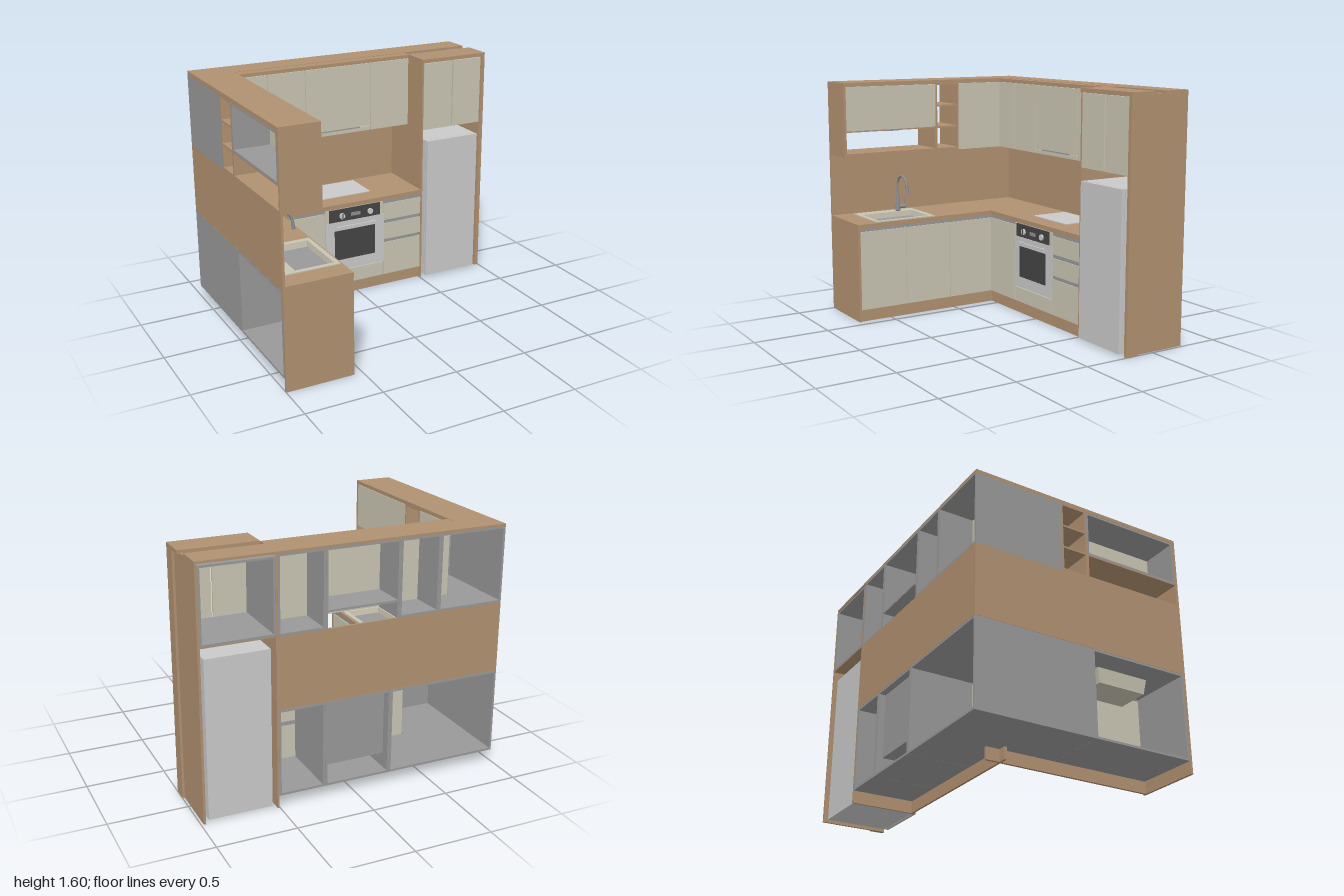
import * as THREE from 'three';

const mat = (name, color) => new THREE.MeshStandardMaterial({ name, color });
const wood = mat('wood', 0xb09070);
const cream = mat('cream', 0xc8c4b2);
cream.side = THREE.DoubleSide;
const carcassGrey = mat('carcassGrey', 0x989898);
const steel = mat('steel', 0xc9c9c9);
const black = mat('black', 0x444444);
const chrome = mat('chrome', 0x8a8d91);

export function createModel() {
  const root = new THREE.Group();
  root.name = 'cornerKitchen';

  const add = (name, geo, m, parent = root) => {
    const mesh = new THREE.Mesh(geo, m);
    mesh.name = name;
    parent.add(mesh);
    return mesh;
  };
  // Box given by its limits on each axis
  const slab = (name, m, x0, x1, y0, y1, z0, z1, parent = root) => {
    const mesh = add(name, new THREE.BoxGeometry(x1 - x0, y1 - y0, z1 - z0), m, parent);
    mesh.position.set((x0 + x1) / 2, (y0 + y1) / 2, (z0 + z1) / 2);
    return mesh;
  };
  const group = (name) => {
    const g = new THREE.Group();
    g.name = name;
    root.add(g);
    return g;
  };
  // Four-board cabinet body, open at front and back; sides stand across the given axis
  const T = 0.014;
  const carcass = (name, x0, x1, y0, y1, z0, z1, axis = 'x', m = carcassGrey) => {
    const g = group(name);
    slab('floorBoard', m, x0, x1, y0, y0 + T, z0, z1, g);
    slab('topBoard', m, x0, x1, y1 - T, y1, z0, z1, g);
    if (axis === 'x') {
      slab('sideBoard', m, x0, x0 + T, y0 + T, y1 - T, z0, z1, g);
      slab('sideBoard', m, x1 - T, x1, y0 + T, y1 - T, z0, z1, g);
    } else {
      slab('sideBoard', m, x0, x1, y0 + T, y1 - T, z0, z0 + T, g);
      slab('sideBoard', m, x0, x1, y0 + T, y1 - T, z1 - T, z1, g);
    }
    return g;
  };
  // Flat board in plan, with an optional rectangular hole
  const plan = (pts, hole, y0, h) => {
    const s = new THREE.Shape(pts.map(([x, z]) => new THREE.Vector2(x, -z)));
    if (hole) {
      const [a, b, c, d] = hole;
      s.holes.push(new THREE.Path([[a, c], [a, d], [b, d], [b, c]].map(([x, z]) => new THREE.Vector2(x, -z))));
    }
    return new THREE.ExtrudeGeometry(s, { depth: h, bevelEnabled: false }).rotateX(-Math.PI / 2).translate(0, y0, 0);
  };

  // Worktop and splashbacks
  add('worktop', plan([[-1, 0.74], [-0.555, 0.74], [-0.555, -0.3], [0.505, -0.3], [0.505, -0.74], [-1, -0.74]],
    [-0.9, -0.585, 0.17, 0.585], 0.64, 0.03), wood);
  slab('backSplash', wood, -0.985, 0.505, 0.67, 1.1, -0.74, -0.725);
  slab('leftSplash', wood, -1, -0.985, 0.67, 1.1, -0.74, 0.74);

  // Base cabinets along the back
  const cornerBase = group('cornerBaseCabinet');
  add('floorBoard', plan([[-1, 0.045], [-0.58, 0.045], [-0.58, -0.322], [-0.24, -0.322], [-0.24, -0.74], [-1, -0.74]],
    null, 0.08, T), carcassGrey, cornerBase);
  add('topBoard', plan([[-1, 0.045], [-0.58, 0.045], [-0.58, -0.322], [-0.24, -0.322], [-0.24, -0.74], [-1, -0.74]],
    null, 0.625, T), carcassGrey, cornerBase);
  slab('leftBoard', carcassGrey, -1, -0.986, 0.094, 0.625, -0.74, 0.045, cornerBase);
  slab('rightBoard', carcassGrey, -0.254, -0.24, 0.094, 0.625, -0.74, -0.322, cornerBase);
  carcass('ovenCabinet', -0.239, 0.2, 0.08, 0.639, -0.74, -0.322);
  carcass('drawerCabinet', 0.201, 0.502, 0.08, 0.639, -0.74, -0.322);
  carcass('sinkCabinet', -1, -0.58, 0.08, 0.639, 0.046, 0.722, 'z');

  // Panels that stand on the floor
  slab('leftEndPanel', wood, -1, -0.556, 0, 0.64, 0.724, 0.74);
  slab('fridgeSidePanel', wood, 0.503, 0.515, 0, 1.1, -0.74, -0.3);
  slab('leftKickboard', wood, -0.585, -0.568, 0, 0.078, -0.42, 0.724);
  slab('backKickboard', wood, -0.64, 0.503, 0, 0.078, -0.33, -0.315);

  // Base doors of the left run, with grip channels above
  for (const [z0, z1] of [[0.384, 0.722], [0.042, 0.378], [-0.3, 0.035]]) {
    slab('baseDoor', cream, -0.578, -0.558, 0.082, 0.618, z0, z1);
    slab('gripChannel', carcassGrey, -0.585, -0.566, 0.618, 0.638, z0 + 0.005, z1 - 0.005);
  }
  // Fronts of the back run
  slab('cornerDoor', cream, -0.558, -0.246, 0.082, 0.618, -0.321, -0.302);
  slab('gripChannel', carcassGrey, -0.556, -0.246, 0.618, 0.638, -0.325, -0.31);
  slab('ovenBaseDrawer', cream, -0.236, 0.2, 0.082, 0.182, -0.321, -0.302);
  [[0.082, 0.325], [0.35, 0.468], [0.494, 0.615]].forEach(([y0, y1]) => {
    slab('drawerFront', cream, 0.206, 0.501, y0, y1, -0.321, -0.302);
    slab('drawerGrip', carcassGrey, 0.206, 0.495, y1, y1 + 0.024, -0.325, -0.308);
  });

  // Oven
  const oven = group('oven');
  slab('ovenBody', carcassGrey, -0.215, 0.18, 0.2, 0.622, -0.7, -0.32, oven);
  slab('ovenDoor', steel, -0.24, 0.208, 0.188, 0.545, -0.32, -0.299, oven);
  slab('ovenWindow', black, -0.175, 0.135, 0.265, 0.48, -0.299, -0.296, oven);
  slab('ovenSurround', cream, -0.24, 0.203, 0.545, 0.638, -0.321, -0.302, oven);
  slab('controlPanel', black, -0.215, 0.175, 0.547, 0.636, -0.302, -0.296, oven);
  slab('ovenHandle', steel, -0.17, 0.135, 0.499, 0.515, -0.287, -0.278, oven);
  for (const x of [-0.15, 0.115]) slab('handlePost', steel, x - 0.008, x + 0.008, 0.501, 0.513, -0.3, -0.287, oven);
  for (const x of [-0.12, 0.095]) {
    add('knob', new THREE.CylinderGeometry(0.02, 0.02, 0.014, 24).rotateX(Math.PI / 2), steel, oven)
      .position.set(x, 0.587, -0.29);
  }
  slab('knobMark', black, -0.123, -0.117, 0.57, 0.604, -0.283, -0.281, oven);
  slab('display', chrome, -0.05, 0.02, 0.575, 0.6, -0.296, -0.294, oven);

  // Hob
  slab('hob', steel, -0.21, 0.17, 0.67, 0.675, -0.7, -0.435);

  // Sink: rim, tapered bowl and drain
  const sink = group('sink');
  add('sinkRim', plan([[-0.93, 0.6], [-0.57, 0.6], [-0.57, 0.15], [-0.93, 0.15]], [-0.85, -0.6, 0.19, 0.57], 0.67, 0.007),
    cream, sink);
  const bowl = new THREE.CylinderGeometry(Math.SQRT1_2, Math.SQRT1_2 * 0.88, 0.14, 4, 1, true)
    .rotateY(Math.PI / 4).scale(0.25, 1, 0.38).toNonIndexed();
  bowl.computeVertexNormals();
  add('sinkBowl', bowl, cream, sink).position.set(-0.725, 0.605, 0.38);
  slab('bowlFloor', cream, -0.835, -0.615, 0.53, 0.535, 0.213, 0.547, sink);
  add('drain', new THREE.CylinderGeometry(0.038, 0.038, 0.006, 24), chrome, sink).position.set(-0.718, 0.538, 0.28);

  // Tap
  const tap = group('tap');
  tap.position.set(-0.88, 0.675, 0.28);
  add('tapBody', new THREE.LatheGeometry([[0, 0], [0.018, 0], [0.018, 0.008], [0.014, 0.05], [0.009, 0.13], [0, 0.13]]
    .map(([r, y]) => new THREE.Vector2(r, y)), 20), chrome, tap);
  const spout = [new THREE.Vector3(0, 0.1, 0)];
  for (let i = 0; i <= 10; i++) {
    const a = Math.PI * (1 - i / 10 * 0.95);
    spout.push(new THREE.Vector3(0.072 + 0.072 * Math.cos(a), 0.185 + 0.072 * Math.sin(a), 0));
  }
  spout.push(new THREE.Vector3(0.151, 0.15, 0));
  add('spout', new THREE.TubeGeometry(new THREE.CatmullRomCurve3(spout), 40, 0.008, 12), chrome, tap);
  const head = add('sprayHead', new THREE.CylinderGeometry(0.009, 0.012, 0.06, 16), chrome, tap);
  head.position.set(0.15, 0.165, 0);
  head.rotation.z = 0.12;
  add('leverHub', new THREE.CylinderGeometry(0.013, 0.013, 0.06, 16).rotateX(Math.PI / 2), chrome, tap)
    .position.set(0, 0.03, -0.03);
  add('lever', new THREE.CylinderGeometry(0.004, 0.004, 0.05, 10), chrome, tap).position.set(0, 0.058, -0.053);

  // Fridge with its door
  const fridge = group('fridge');
  slab('fridgeBody', steel, 0.54, 0.945, 0.012, 1.025, -0.72, -0.305, fridge);
  slab('fridgeDoor', steel, 0.54, 0.945, 0.012, 1.025, -0.302, -0.278, fridge);

  // Tall panel right of the fridge, with a thicker front strip
  slab('tallPanel', wood, 0.97, 0.985, 0, 1.585, -0.74, -0.3);
  slab('tallFrontStrip', wood, 0.975, 1, 0, 1.575, -0.39, -0.295);

  // Upper cabinets along the back, open behind
  carcass('upperCornerCabinet', -0.999, -0.551, 1.1, 1.585, -0.74, -0.51);
  carcass('upperNarrowCabinet', -0.55, -0.281, 1.1, 1.585, -0.74, -0.51);
  carcass('hoodCabinet', -0.28, 0.203, 1.2, 1.585, -0.74, -0.51);
  for (const x of [-0.28, 0.189]) slab('hoodSide', carcassGrey, x, x + T, 1.1, 1.2, -0.74, -0.51);
  carcass('upperRightCabinet', 0.204, 0.502, 1.1, 1.585, -0.74, -0.51);
  carcass('fridgeTopCabinet', 0.515, 0.97, 1.105, 1.575, -0.74, -0.322);
  slab('fridgeTopUnderside', wood, 0.515, 0.97, 1.098, 1.105, -0.74, -0.322);
  slab('fridgeTopSide', wood, 0.503, 0.514, 1.1, 1.575, -0.74, -0.3);
  for (const [x0, x1, y0] of [[-0.745, -0.552, 1.102], [-0.547, -0.283, 1.102], [-0.278, 0.202, 1.135], [0.207, 0.501, 1.102]]) {
    slab('upperDoor', cream, x0, x1, y0, 1.572, -0.509, -0.492);
  }
  slab('hoodFront', cream, -0.278, 0.202, 1.102, 1.13, -0.509, -0.494);
  slab('hoodHandle', carcassGrey, -0.19, 0.12, 1.128, 1.136, -0.5, -0.486);
  for (const [x0, x1] of [[0.517, 0.739], [0.749, 0.969]]) slab('fridgeTopDoor', cream, x0, x1, 1.105, 1.57, -0.32, -0.3);

  // Cover boards on top
  slab('backCover', wood, -0.745, 0.985, 1.585, 1.6, -0.74, -0.56);
  slab('frontCover', wood, -0.745, 0.503, 1.575, 1.598, -0.558, -0.49);
  slab('fridgeCover', wood, 0.503, 1, 1.575, 1.6, -0.49, -0.295);
  slab('leftCover', wood, -1, -0.745, 1.575, 1.6, -0.74, 0.74);

  // Left upper run: corner cabinet, open shelves, lift-door cabinet over a niche
  slab('upperCornerSide', carcassGrey, -1, -0.986, 1.1, 1.575, -0.74, -0.146);
  slab('upperCornerFloor', carcassGrey, -0.986, -0.765, 1.1, 1.114, -0.51, -0.146);
  slab('upperCornerEnd', carcassGrey, -0.986, -0.765, 1.114, 1.575, -0.16, -0.146);
  slab('upperCornerDoor', cream, -0.763, -0.746, 1.102, 1.572, -0.492, -0.15);
  const shelves = group('openShelves');
  for (const z of [-0.146, 0.026]) slab('shelfSide', wood, -1, -0.746, 1.1, 1.575, z, z + 0.012, shelves);
  for (const y of [1.1, 1.264, 1.414, 1.565]) slab('shelf', wood, -1, -0.746, y, y + (y === 1.1 ? 0.022 : 0.012), -0.134, 0.026, shelves);
  slab('upperEndPanel', wood, -1, -0.745, 1.1, 1.575, 0.722, 0.74);
  slab('nicheFloor', wood, -1, -0.745, 1.1, 1.122, 0.038, 0.722);
  slab('nicheTop', wood, -1, -0.765, 1.264, 1.272, 0.038, 0.722);
  slab('nicheSide', wood, -1, -0.746, 1.122, 1.264, 0.038, 0.048);
  carcass('liftCabinet', -1, -0.765, 1.272, 1.574, 0.039, 0.721, 'z');
  slab('liftDoor', cream, -0.764, -0.746, 1.275, 1.572, 0.04, 0.73);
  slab('liftHandle', carcassGrey, -0.764, -0.74, 1.264, 1.275, 0.33, 0.43);

  return root;
}
